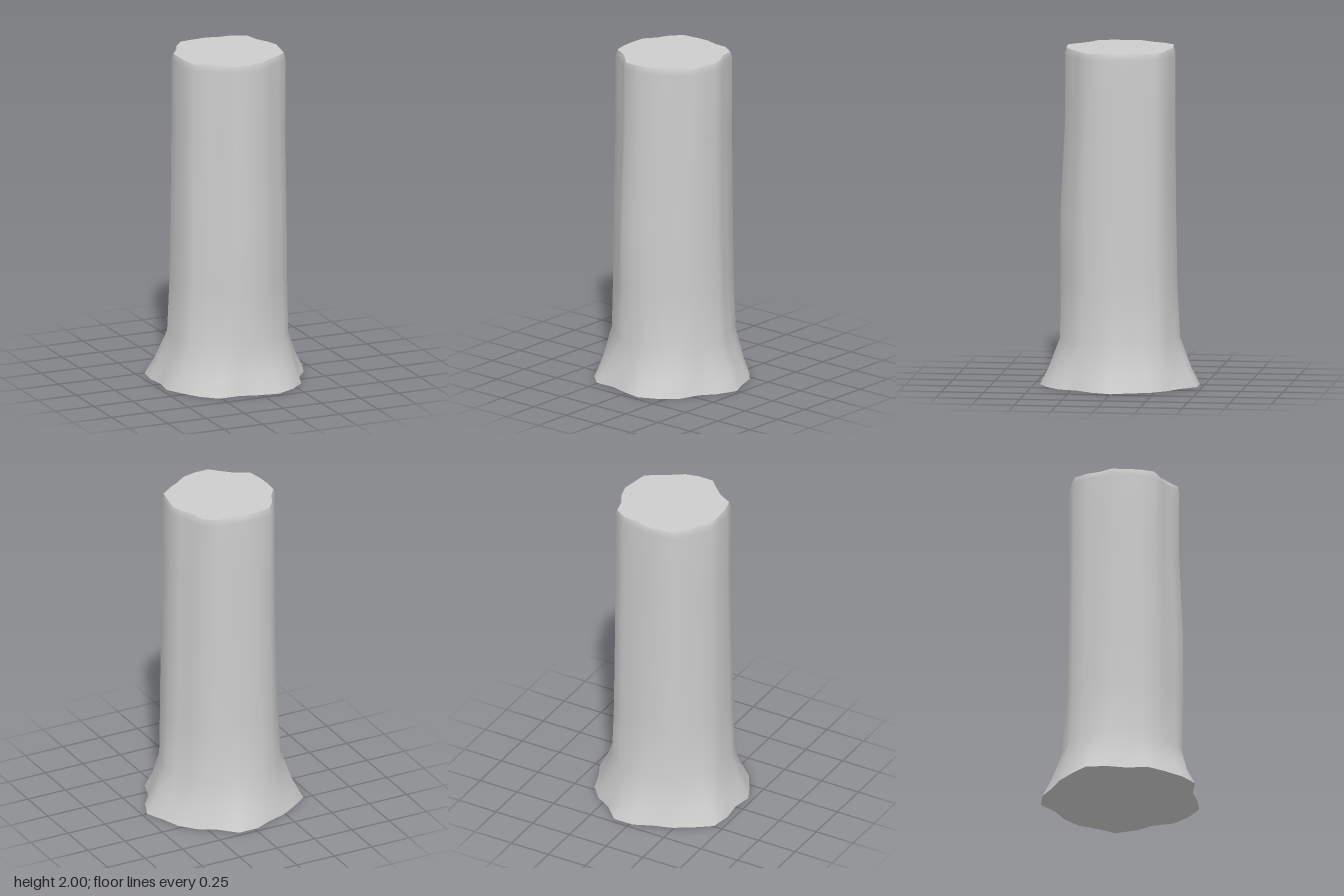
import * as THREE from 'three';

// Irregular outlines as [x, z], running from +x towards +z
const foot = [
  [0.47, 0], [0.42, 0.12], [0.35, 0.21], [0.31, 0.33], [0.22, 0.41], [0.105, 0.467],
  [-0.02, 0.447], [-0.13, 0.415], [-0.26, 0.417], [-0.35, 0.335], [-0.415, 0.23], [-0.47, 0.12],
  [-0.45, 0], [-0.465, -0.12], [-0.445, -0.245], [-0.345, -0.32], [-0.24, -0.385], [-0.13, -0.42],
  [-0.02, -0.47], [0.105, -0.47], [0.2, -0.375], [0.3, -0.315], [0.38, -0.225], [0.42, -0.11],
];
const crown = [
  [0.3, 0], [0.285, 0.085], [0.27, 0.17], [0.2, 0.22], [0.13, 0.26], [0.065, 0.305],
  [-0.02, 0.325], [-0.11, 0.325], [-0.165, 0.27], [-0.228, 0.213], [-0.31, 0.17], [-0.33, 0.085],
  [-0.335, 0], [-0.33, -0.085], [-0.28, -0.15], [-0.25, -0.22], [-0.19, -0.29], [-0.11, -0.3],
  [-0.02, -0.305], [0.06, -0.285], [0.145, -0.28], [0.22, -0.235], [0.24, -0.145], [0.28, -0.075],
];
// Levels: [height, blend from crown to foot, forward bulge]
const levels = [
  [0, 1, 0], [0.1, 0.69, 0], [0.28, 0.28, 0], [0.6, 0.18, 0.015], [1, 0.13, 0.022],
  [1.55, 0.09, 0], [1.96, 0.09, 0], [2, 0, 0],
];
const N = foot.length;

const ringAt = ([y, t, bulge]) => crown.map(([cx, cz], i) => {
  const x = cx + (foot[i][0] - cx) * t;
  const z = cz + (foot[i][1] - cz) * t;
  return [x, y, z + bulge * Math.max(0, z / Math.hypot(x, z))];
});

function makeGeometry(points, index) {
  const g = new THREE.BufferGeometry();
  g.setAttribute('position', new THREE.Float32BufferAttribute(points.flat(), 3));
  g.setIndex(index);
  g.computeVertexNormals();
  return g;
}

// Smooth wall lofted through the rings
function wallGeometry() {
  const index = [];
  for (let r = 0; r < levels.length - 1; r++) {
    for (let i = 0; i < N; i++) {
      const a = r * N + i, b = r * N + (i + 1) % N;
      index.push(a, a + N, b, b, a + N, b + N);
    }
  }
  return makeGeometry(levels.flatMap(ringAt), index);
}

// Flat end closing one ring
function capGeometry(level, up) {
  const index = [];
  for (let i = 0; i < N; i++) {
    const j = (i + 1) % N;
    index.push(N, up ? j : i, up ? i : j);
  }
  return makeGeometry([...ringAt(level), [0, level[0], 0]], index);
}

export function createModel() {
  const group = new THREE.Group();
  group.name = 'trunk';
  const material = new THREE.MeshStandardMaterial({ color: 0xcccccc });
  material.name = 'pale grey';
  const add = (name, geometry) => {
    const mesh = new THREE.Mesh(geometry, material);
    mesh.name = name;
    group.add(mesh);
  };
  add('trunkWall', wallGeometry());
  add('topCut', capGeometry(levels[levels.length - 1], true));
  add('underside', capGeometry(levels[0], false));
  return group;
}
